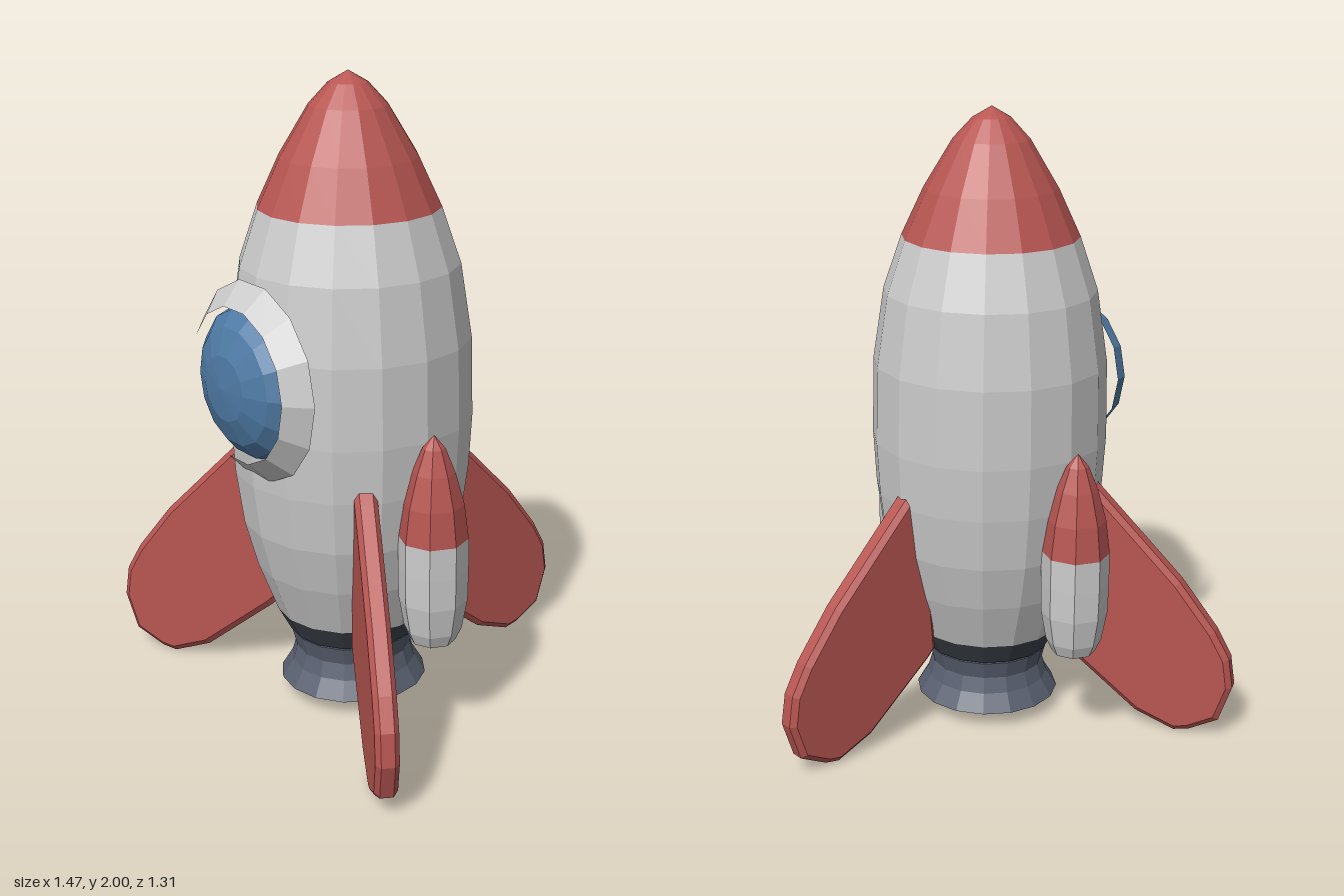
import * as THREE from 'three';

const mat = (color) => new THREE.MeshStandardMaterial({ color, flatShading: true });
const GREY = mat(0xcccccc), RED = mat(0xb85652), DARK = mat(0x3c424a);
const STEEL = mat(0x596070), BLUE = mat(0x4f7ba6), GOLD = mat(0x806030);

// Faceted turned part; points are [radius, height] from bottom to top
function turned(name, points, sides, material, phiStart = 0) {
  const profile = points.map(([r, y]) => new THREE.Vector2(r, y));
  const mesh = new THREE.Mesh(new THREE.LatheGeometry(profile, sides, phiStart), material);
  mesh.name = name;
  return mesh;
}

function makeFin() {
  // Outline in radial distance and height, with the root inside the hull
  const outline = [[0.25, 0.27], [0.28, 0.24], [0.52, 0.05], [0.65, 0], [0.70, 0.01], [0.795, 0.06],
    [0.835, 0.18], [0.82, 0.28], [0.77, 0.37], [0.65, 0.525], [0.39, 0.79], [0.36, 0.82], [0.33, 0.81], [0.28, 0.6]];
  const shape = new THREE.Shape(outline.map(([r, y]) => new THREE.Vector2(r, y)));
  const geometry = new THREE.ExtrudeGeometry(shape, {
    depth: 0.04, bevelEnabled: true, bevelSegments: 1,
    bevelThickness: 0.015, bevelSize: 0.018, bevelOffset: -0.018,
  });
  geometry.translate(0, 0, -0.02);
  return geometry;
}

function makeBooster() {
  const booster = new THREE.Group();
  booster.add(
    turned('boosterBase', [[0, 0.325], [0.07, 0.325]], 8, DARK),
    turned('boosterTube', [[0.07, 0.325], [0.088, 0.365], [0.105, 0.46], [0.107, 0.56], [0.106, 0.66]], 8, GREY),
    turned('boosterNose', [[0.106, 0.66], [0.092, 0.77], [0.064, 0.87], [0.034, 0.945], [0, 0.985]], 8, RED),
  );
  return booster;
}

export function createModel() {
  const rocket = new THREE.Group();
  rocket.name = 'rocket';

  // Hull, nose and engine share one axis, set forward of the centre
  const ship = new THREE.Group();
  ship.name = 'ship';
  ship.position.z = 0.18;
  rocket.add(ship);
  ship.add(
    turned('hull', [[0.245, 0.3], [0.305, 0.46], [0.345, 0.61], [0.368, 0.78], [0.378, 0.95],
      [0.373, 1.2], [0.338, 1.43], [0.28, 1.6]], 16, GREY),
    turned('noseCone', [[0.28, 1.6], [0.21, 1.75], [0.12, 1.9], [0.06, 1.965], [0, 2]], 16, RED),
    turned('collar', [[0.16, 0.225], [0.205, 0.225], [0.245, 0.3]], 16, DARK),
    turned('nozzle', [[0.185, 0.085], [0.21, 0.053], [0.235, 0.053], [0.2, 0.11], [0.185, 0.16],
      [0.2, 0.218], [0.16, 0.225]], 16, STEEL),
    turned('burner', [[0, 0.085], [0.185, 0.085]], 16, GOLD),
  );

  // Three fins, one straight back
  const finGeometry = makeFin();
  for (let i = 0; i < 3; i++) {
    const fin = new THREE.Mesh(finGeometry, RED);
    fin.name = 'fin';
    fin.rotation.y = Math.PI / 2 + (i * Math.PI * 2) / 3;
    ship.add(fin);
  }

  // Side boosters
  for (const side of [-1, 1]) {
    const booster = makeBooster();
    booster.name = side > 0 ? 'leftBooster' : 'rightBooster';
    booster.position.x = side * 0.407;
    ship.add(booster);
  }

  // Round window with a sloped, open-backed frame
  const porthole = new THREE.Group();
  porthole.name = 'window';
  porthole.position.set(0, 1.115, 0);
  porthole.rotation.x = Math.PI / 2;
  porthole.add(
    turned('windowFrame', [[0.306, 0.533], [0.237, 0.6]], 14, GREY, Math.PI / 2),
    turned('windowGlass', [[0.24, 0.523], [0.225, 0.57], [0.18, 0.61], [0.1, 0.642], [0, 0.652]], 14, BLUE, Math.PI / 2),
  );
  rocket.add(porthole);

  return rocket;
}
